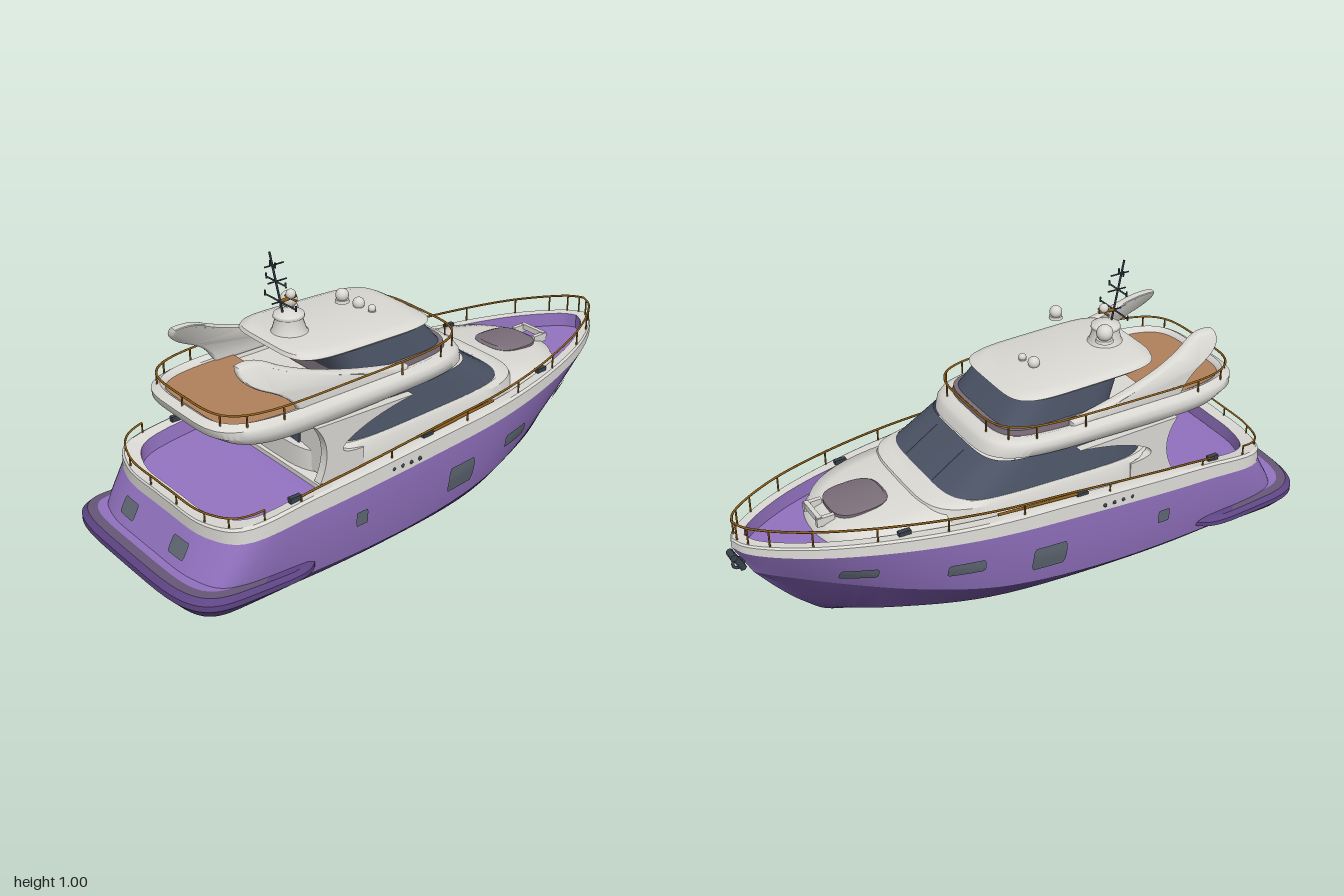
import * as THREE from 'three';
import { toCreasedNormals } from 'three/addons/utils/BufferGeometryUtils.js';

const V = (x, y, z) => new THREE.Vector3(x, y, z);
const paint = (name, color) => Object.assign(new THREE.MeshStandardMaterial({ color, side: THREE.DoubleSide }), { name });

export function createModel() {
  const yacht = new THREE.Group();
  yacht.name = 'motorYacht';
  const purple = paint('hullPurple', 0x9272c0), dark = paint('bottomPurple', 0x5e4584), white = paint('gelcoatWhite', 0xd9d8d3);
  const glass = paint('tintedGlass', 0x4a5264), portGlass = paint('hullWindowGlass', 0x606874);
  const bronze = paint('railBronze', 0x8a5c18), teak = paint('teakDeck', 0xb0805a);
  const metal = paint('darkMetal', 0x3a414c), mauve = paint('cushionMauve', 0x7a6d78), strip = paint('fenderStrip', 0x665678);

  const add = (name, geo, mat, x = 0, y = 0, z = 0) => {
    const m = new THREE.Mesh(geo, mat);
    m.name = name;
    m.position.set(x, y, z);
    yacht.add(m);
    return m;
  };

  // Skin between rows of points; rows run from top to bottom
  const loft = (name, rows, mat, crease = 0.6) => {
    const n = rows[0].length, idx = [];
    for (let j = 0; j < rows.length - 1; j++)
      for (let i = 0; i < n - 1; i++) {
        const a = j * n + i, c = a + n;
        idx.push(a, c, a + 1, a + 1, c, c + 1);
      }
    const g = new THREE.BufferGeometry().setFromPoints(rows.flat());
    g.setIndex(idx);
    return add(name, toCreasedNormals(g, crease), mat);
  };

  // Closed waterline through half-breadth points, from stern to bow and back
  const ring = (pts, N = 60) => {
    const curve = new THREE.CatmullRomCurve3(pts.map(p => V(...p)));
    const half = Array.from({ length: N + 1 }, (_, i) => curve.getPoint(i / N));
    return [...half, ...half.slice(0, -1).reverse().map(p => V(p.x, p.y, -p.z))];
  };
  // Rounded-rectangle outline, with height running from y0 aft to y1 forward
  const oval = (x0, x1, w, y0, y1 = y0, p = 4, N = 72) => Array.from({ length: N + 1 }, (_, i) => {
    const t = i / N * Math.PI * 2, c = -Math.cos(t), s = Math.sin(t);
    const k = v => Math.sign(v) * Math.abs(v) ** (2 / p);
    const x = (x0 + x1) / 2 + (x1 - x0) / 2 * k(c);
    return V(x, y0 + (y1 - y0) * (x - x0) / (x1 - x0), w * k(s));
  });
  const centre = row => row.map(p => V(p.x, p.y, 0));
  const capped = (name, rows, mat, crease) => loft(name, [centre(rows[0]), ...rows, centre(rows.at(-1))], mat, crease);

  // Thin plate laid on a surface, seen along x or z from side s, with rounded corners
  const ray = new THREE.Raycaster();
  const plate = (name, target, mat, axis, s, u0, u1, v0, v1) => {
    const rows = [];
    for (let j = 0; j <= 6; j++) {
      const row = [], f = 1 - j / 3;
      const squeeze = 1 - 0.12 * f ** 6;
      for (let i = 0; i <= 6; i++) {
        const u = (u0 + u1) / 2 + (u1 - u0) * (i / 6 - 0.5) * squeeze, v = (v0 + v1) / 2 + (v1 - v0) / 2 * f;
        ray.set(axis === 'z' ? V(u, v, 2 * s) : V(2 * s, v, u), axis === 'z' ? V(0, 0, -s) : V(-s, 0, 0));
        const hit = ray.intersectObject(target)[0];
        if (!hit) return;
        hit.point[axis] += s * 0.006;
        row.push(hit.point);
      }
      rows.push(row);
    }
    loft(name, rows, mat);
  };

  const tube = (name, pts, r, mat, seg = 60) =>
    add(name, new THREE.TubeGeometry(new THREE.CatmullRomCurve3(pts), seg, r, 6), mat);
  const rod = (name, a, b, r, mat) => tube(name, [a, b], r, mat, 1);
  // Handrail with upright posts
  const railing = (name, pts, drop, every, r = 0.0038) => {
    tube(name, pts, r, bronze, pts.length * 2);
    pts.forEach((p, i) => {
      if (i % every === 0) rod(name + 'Post', p, V(p.x, p.y - drop(p), p.z), r * 0.8, bronze);
    });
  };

  // Hull topsides and darker bottom, meeting at the chine
  const sheer = ring([[-.86, .28, 0], [-.85, .28, .22], [-.79, .29, .335], [-.55, .31, .362], [-.1, .335, .36],
    [.25, .345, .33], [.52, .355, .27], [.76, .365, .183], [.9, .37, .1], [.96, .373, .045], [.98, .375, 0]]);
  const chine = ring([[-.96, .1, 0], [-.95, .1, .22], [-.9, .095, .31], [-.6, .085, .33], [-.15, .085, .325],
    [.2, .11, .29], [.46, .155, .22], [.68, .203, .13], [.82, .235, .06], [.88, .248, .027], [.92, .258, 0]]);
  const bilge = ring([[-.88, .05, 0], [-.88, .05, .18], [-.82, .035, .25], [-.6, .016, .26], [-.15, .012, .25],
    [.2, .014, .21], [.45, .03, .14], [.66, .065, .07], [.78, .135, .025], [.85, .195, .008], [.92, .258, 0]]);
  const keel = ring([[-.82, .02, 0], [-.81, .015, 0], [-.78, .012, 0], [-.6, .006, 0], [-.15, .005, 0],
    [.2, .002, 0], [.45, .003, 0], [.67, .012, 0], [.77, .085, 0], [.85, .17, 0], [.92, .258, 0]]);
  const topside = sheer.map((p, i) => p.clone().lerp(chine[i], 0.5).multiply(V(1, 1, 1.03)));
  const hull = loft('hullTopsides', [sheer, topside, chine], purple, 0.45);
  loft('hullBottom', [chine, bilge, keel], dark, 0.45);

  // Bulwark with a broad capping, and the decks inside it
  const rise = p => 0.05 - 0.025 * Math.max(0, p.x) - 0.03 * Math.max(0, -0.5 - p.x);
  const outer = sheer.map(p => V(p.x, p.y + rise(p), p.z * 0.99));
  const inner = outer.map(p => V(p.x * 0.95 + 0.005, p.y + 0.004, p.z * 0.87));
  const foot = inner.map(p => V(p.x, p.y - 0.05, p.z * 0.98));
  loft('bulwark', [inner, outer.map(p => V(p.x * .995, p.y + .006, p.z * .97)), outer, sheer], white);
  loft('cockpitAndBowDeck', [centre(foot), foot, inner], purple);
  const mid = foot.map(p => V(THREE.MathUtils.clamp(p.x, -0.47, 0.55), p.y + 0.02, p.z * 1.005));
  loft('sideDeck', [centre(mid), mid], white);

  // Swim platform: narrow fender strip on the upper edge, dark sides
  capped('swimPlatform', [oval(-.955, -.55, .345, .172, .137, 5), oval(-.955, -.55, .345, .13, .11, 5)], purple);
  const edge = oval(-.982, -.515, .37, .172, .137, 4.5);
  loft('platformStrip', [oval(-.95, -.555, .34, .173, .138, 5), edge], strip);
  capped('platformSides', [edge, oval(-.999, -.5, .384, .155, .127, 4.5), oval(-.999, -.5, .384, .135, .112, 4.5),
    oval(-.96, -.55, .35, .09, .09, 5)].slice(0), dark);

  // Hull windows, portholes, vents, cleats and deck grab rails
  for (const s of [1, -1]) {
    for (const [x, y, w, h] of [[.05, .21, .12, .095], [.33, .24, .12, .05], [.65, .27, .11, .045], [-.38, .23, .045, .05]])
      plate('hullWindow', hull, portGlass, 'z', s, x - w / 2, x + w / 2, y - h / 2, y + h / 2);
    plate('transomWindow', hull, portGlass, 'x', -1, s * .14 - .04, s * .14 + .04, .2, .25);
    for (let i = 0; i < 4; i++)
      add('vent', new THREE.SphereGeometry(.007, 8, 6), metal, -.25 + i * .035, .35, s * .36);
    for (const [x, z] of [[-.08, .32], [.51, .235], [-.6, .325]])
      add('cleat', new THREE.BoxGeometry(.04, .018, .016), metal, x, x > 0 ? .402 : x > -.5 ? .392 : .365, s * z);
    rod('grabRail', V(-.06, .402, s * .325), V(.22, .408, s * .305), .005, bronze);
  }

  // Foredeck trunk with a sunpad and windlass
  capped('foredeckTrunk', [oval(.1, .66, .17, .46, .402, 2.6), oval(.02, .7, .235, .445, .39, 2.4),
    oval(0, .72, .265, .38, .35, 2.3)], white, 0.9);
  capped('sunpad', [oval(.48, .65, .075, .43, .42, 3), oval(.47, .66, .09, .422, .414, 3), oval(.47, .66, .09, .395, .385, 3)], mauve);
  for (const s of [1, -1]) add('windlassCheek', new THREE.BoxGeometry(.06, .03, .015), white, .69, .402, s * .05);
  add('windlassBar', new THREE.BoxGeometry(.015, .02, .11), white, .71, .41, 0);

  // Saloon: white base, glass band, aft quarter pillars
  capped('saloonBase', [oval(-.44, .37, .27, .425, .45, 4.5), oval(-.46, .41, .28, .41, .435, 4.5), oval(-.46, .45, .285, .33, .35, 4.5)], white);
  const saloonGlass = loft('saloonGlass', [oval(-.38, .2, .246, .54, .54, 5), oval(-.4, .345, .27, .42, .445, 5)], glass);
  for (const z of [-.09, .09]) plate('windscreenMullion', saloonGlass, metal, 'x', 1, z - .003, z + .003, .455, .53);
  const pillar = new THREE.Shape();
  pillar.moveTo(-.47, .34);
  pillar.lineTo(-.3, .34);
  pillar.lineTo(-.3, .41);
  pillar.quadraticCurveTo(-.42, .415, -.36, .455);
  pillar.quadraticCurveTo(-.27, .505, -.1, .525);
  pillar.lineTo(-.48, .535);
  pillar.quadraticCurveTo(-.41, .45, -.47, .34);
  for (const s of [1, -1])
    add('quarterPillar', new THREE.ExtrudeGeometry(pillar, { depth: .03, bevelEnabled: false }), white, 0, 0, s * .262 - .015);
  add('aftBulkhead', new THREE.BoxGeometry(.02, .19, .5), white, -.43, .44, 0);
  add('saloonDoor', new THREE.BoxGeometry(.006, .15, .28), glass, -.443, .43, 0);

  // Flybridge moulding and teak deck
  capped('flybridge', [oval(-.74, .13, .215, .565, .565, 5), oval(-.745, .135, .222, .59, .595, 5), oval(-.76, .155, .245, .6, .602, 4.5),
    oval(-.785, .18, .265, .585, .59, 4.5), oval(-.78, .19, .272, .56, .575, 4.5), oval(-.73, .2, .262, .525, .545, 4.5),
    oval(-.66, .18, .235, .51, .53, 4.5)], white, 0.9);
  const planks = oval(-.745, .12, .219, .585, .585, 5).map(p => V(Math.min(p.x, -.44), p.y, p.z));
  loft('flybridgeTeak', [centre(planks), planks], teak);
  const flyRail = oval(-.765, .165, .258, .63, .645, 4.5, 60);
  railing('flybridgeRail', flyRail, () => .045, 4);

  // Upper windscreen and hardtop
  capped('dashCushion', [oval(-.3, .135, .212, .615, .615, 4.5), oval(-.3, .145, .218, .57, .57, 4.5)], mauve);
  loft('upperWindscreen', [oval(-.34, .045, .187, .705, .7, 4.5), oval(-.3, .125, .205, .61, .61, 4.5)], glass);
  capped('hardtop', [oval(-.44, .03, .165, .728, .715, 5), oval(-.465, .065, .192, .72, .706, 5), oval(-.47, .08, .2, .708, .698, 5),
    oval(-.45, .06, .19, .698, .69, 5)], white, 0.8);

  // Swept side arms, flaring outward and down into the flybridge
  const arm = new THREE.Shape();
  arm.moveTo(-.675, .755);
  arm.quadraticCurveTo(-.62, .765, -.56, .73);
  arm.quadraticCurveTo(-.42, .66, -.1, .605);
  arm.lineTo(-.1, .585);
  arm.lineTo(-.5, .585);
  arm.quadraticCurveTo(-.52, .64, -.6, .68);
  arm.quadraticCurveTo(-.69, .72, -.675, .755);
  for (const s of [1, -1]) {
    const g = new THREE.ExtrudeGeometry(arm, { depth: .014, bevelSize: .008, bevelThickness: .01, bevelSegments: 3, curveSegments: 16 });
    const p = g.attributes.position;
    for (let i = 0; i < p.count; i++) p.setZ(i, p.getZ(i) - .007 + s * (.228 - 1.9 * Math.max(0, p.getY(i) - .585) ** 2));
    add('sideArm', toCreasedNormals(g, 0.7), white);
  }

  // Mast base, mast, crossbars and antenna domes
  const profile = [[.065, .72], [.055, .73], [.043, .77], [.05, .775], [.048, .785], [.02, .795], [0, .797]];
  add('mastBase', new THREE.LatheGeometry(profile.map(p => new THREE.Vector2(...p)).reverse(), 24), white, -.37, 0, 0);
  rod('mast', V(-.39, .78, 0), V(-.433, 1, 0), .0035, metal);
  for (const [x, y, w] of [[-.4, .83, .08], [-.413, .9, .05], [-.423, .955, .013]]) {
    rod('mastCrossbar', V(x, y, -w), V(x, y, w), .003, metal);
    rod('mastSpreader', V(x - .03, y, 0), V(x + .04, y, 0), .0025, metal);
    for (const s of [1, -1]) rod('antennaTip', V(x, y - .006, s * w), V(x, y + .012, s * w), .003, metal);
  }
  add('mastLight', new THREE.SphereGeometry(.016, 14, 10), white, -.36, .845, 0);
  rod('mastLightBracket', V(-.4, .83, 0), V(-.34, .835, 0), .006, bronze);
  rod('mastLightBar', V(-.36, .83, -.03), V(-.36, .83, .03), .004, bronze);
  for (const [x, y, z, r] of [[-.32, .795, -.068, .028], [-.225, .832, .081, .021], [-.08, .73, -.02, .02], [-.07, .727, .035, .013]]) {
    add('antennaDome', new THREE.SphereGeometry(r, 20, 14), white, x, y, z);
    add('antennaFoot', new THREE.CylinderGeometry(r, r * 1.1, .01, 18), white, x, y - r * .9, z);
  }

  // Side, bow and stern rails
  const height = p => .024 + .026 * (p.x + .6);
  const railLine = outer.map(p => V(p.x * .99, p.y + height(p), p.z * .965));
  railing('bowRail', railLine.filter(p => p.x > -.6), height, 5);
  const stern = railLine.filter(p => p.x < -.68);
  const half = stern.findIndex((p, i) => i && p.z < 0 && stern[i - 1].z > 0);
  const sternLine = [...stern.slice(half), ...stern.slice(1, half)].map(p => V(p.x, p.y + .02, p.z));
  railing('sternRail', sternLine, () => .04, 4, .0035);

  // Anchor at the stem
  rod('anchorShank', V(.985, .355, 0), V(.95, .285, 0), .012, metal);
  add('anchorRing', new THREE.TorusGeometry(.018, .005, 8, 18), metal, .965, .31, 0);
  add('anchorRoller', new THREE.CylinderGeometry(.012, .012, .04, 12).rotateX(Math.PI / 2), metal, .982, .345, 0);
  return yacht;
}
